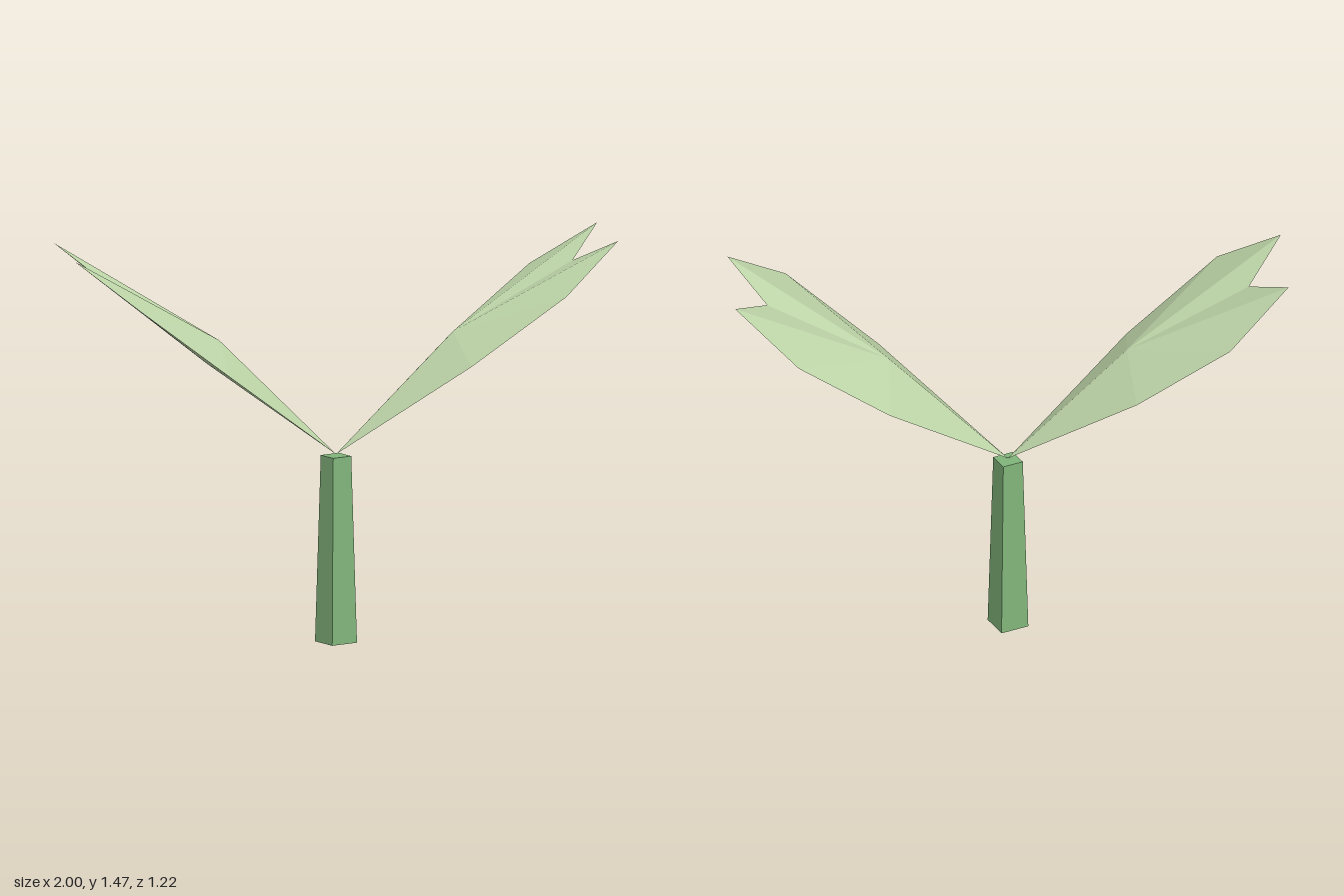
import * as THREE from 'three';

const leafGreen = new THREE.MeshStandardMaterial({ color: 0xc3dbad, flatShading: true });
leafGreen.name = 'leafGreen';
const stemGreen = new THREE.MeshStandardMaterial({ color: 0x82b57b, flatShading: true });
stemGreen.name = 'stemGreen';

// Solid leaf: two fans of facets on one rim, ridged above and almost flat below
function leafGeometry() {
  const topCentre = [0.4, 1.125, -0.16];
  const bottomCentre = [0.44, 1.04, -0.18];
  const rim = [
    [0, 0.69, 0], [0.51, 1.04, 0.068], [0.85, 1.3, 0.025], [1, 1.47, -0.2],
    [0.81, 1.37, -0.325], // notch between the two tips
    [0.86, 1.47, -0.55], [0.6, 1.3, -0.61], [0.32, 1.04, -0.408],
  ];
  const positions = rim.flatMap((p, i) => {
    const next = rim[(i + 1) % rim.length];
    return [...topCentre, ...p, ...next, ...bottomCentre, ...next, ...p];
  });
  const geometry = new THREE.BufferGeometry();
  geometry.setAttribute('position', new THREE.Float32BufferAttribute(positions, 3));
  geometry.computeVertexNormals();
  return geometry;
}

export function createModel() {
  const sprout = new THREE.Group();
  sprout.name = 'sprout';

  // Tapered four-sided stem, corners on the axes
  const stem = new THREE.Mesh(new THREE.CylinderGeometry(0.056, 0.077, 0.685, 4), stemGreen);
  stem.name = 'stem';
  stem.position.y = 0.3425;
  sprout.add(stem);

  // Two leaves, half a turn apart
  const geometry = leafGeometry();
  ['leftLeaf', 'rightLeaf'].forEach((name, i) => {
    const leaf = new THREE.Mesh(geometry, leafGreen);
    leaf.name = name;
    leaf.rotation.y = i * Math.PI;
    sprout.add(leaf);
  });
  return sprout;
}
